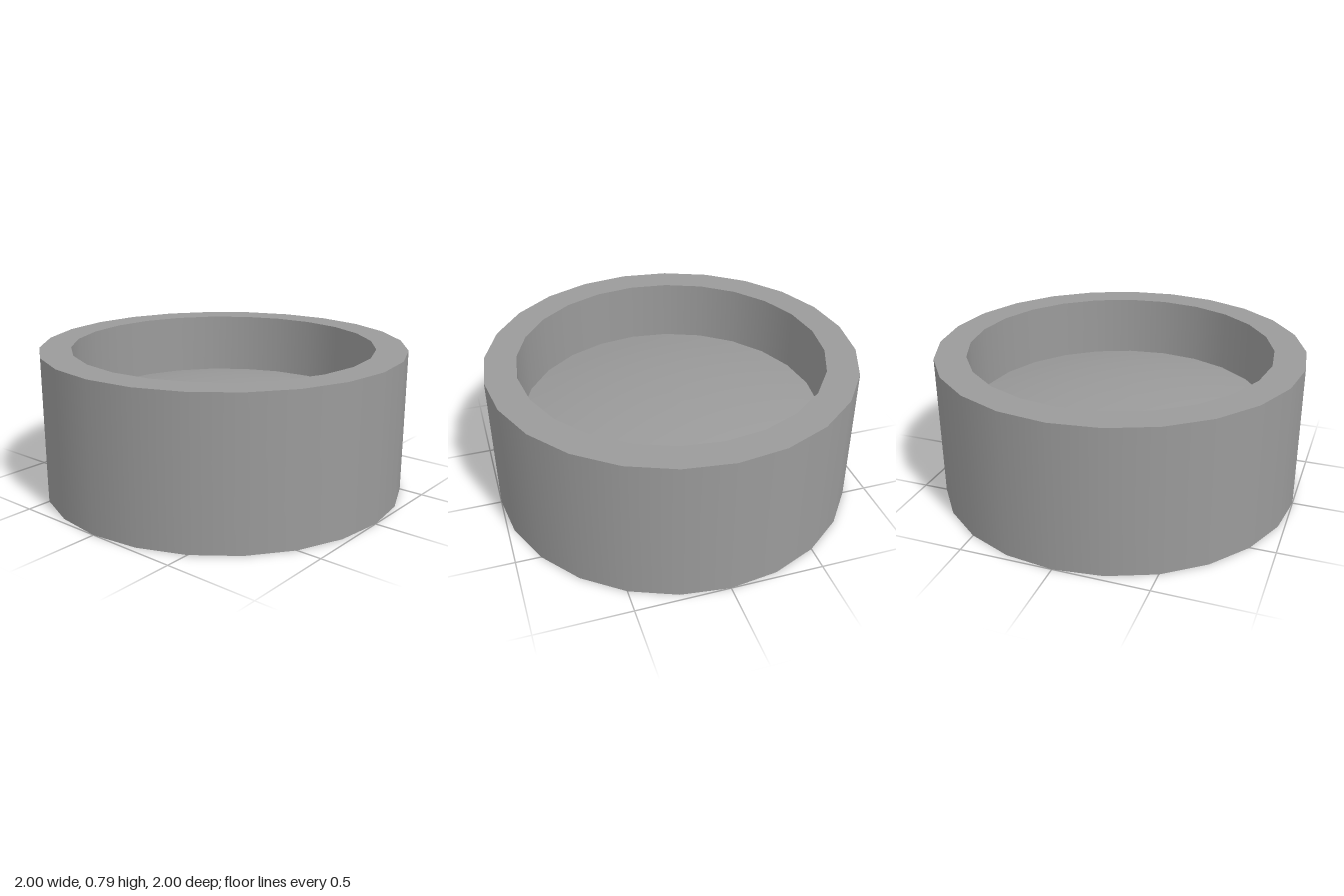
import * as THREE from 'three';

const SIDES = 24;
const OUTER = 1, INNER = 0.83, HEIGHT = 0.79, FLOOR = 0.445, DOME = 0.095;

export function createModel() {
  const model = new THREE.Group();
  const material = new THREE.MeshStandardMaterial({ color: 0x9a9a9a, side: THREE.DoubleSide });

  // Each band is its own lathe, so edges between bands stay sharp
  const addBand = (name, profile) => {
    const points = profile.map(([r, y]) => new THREE.Vector2(r, y));
    const mesh = new THREE.Mesh(new THREE.LatheGeometry(points, SIDES), material);
    mesh.name = name;
    model.add(mesh);
  };

  // Outer skirt, open at the bottom
  addBand('outerWall', [[OUTER, 0], [OUTER, HEIGHT]]);
  // Flat ring on top
  addBand('topRim', [[OUTER, HEIGHT], [INNER, HEIGHT]]);
  // Recess wall down to the floor
  addBand('innerWall', [[INNER, HEIGHT], [INNER, FLOOR]]);

  // Gently domed floor: a shallow spherical cap
  const radius = (INNER * INNER + DOME * DOME) / (2 * DOME);
  const edgeAngle = Math.asin(INNER / radius);
  const cap = [];
  for (let i = 0; i <= 6; i++) {
    const a = edgeAngle * (1 - i / 6);
    cap.push([radius * Math.sin(a), FLOOR + DOME - radius * (1 - Math.cos(a))]);
  }
  addBand('domedFloor', cap);

  return model;
}
